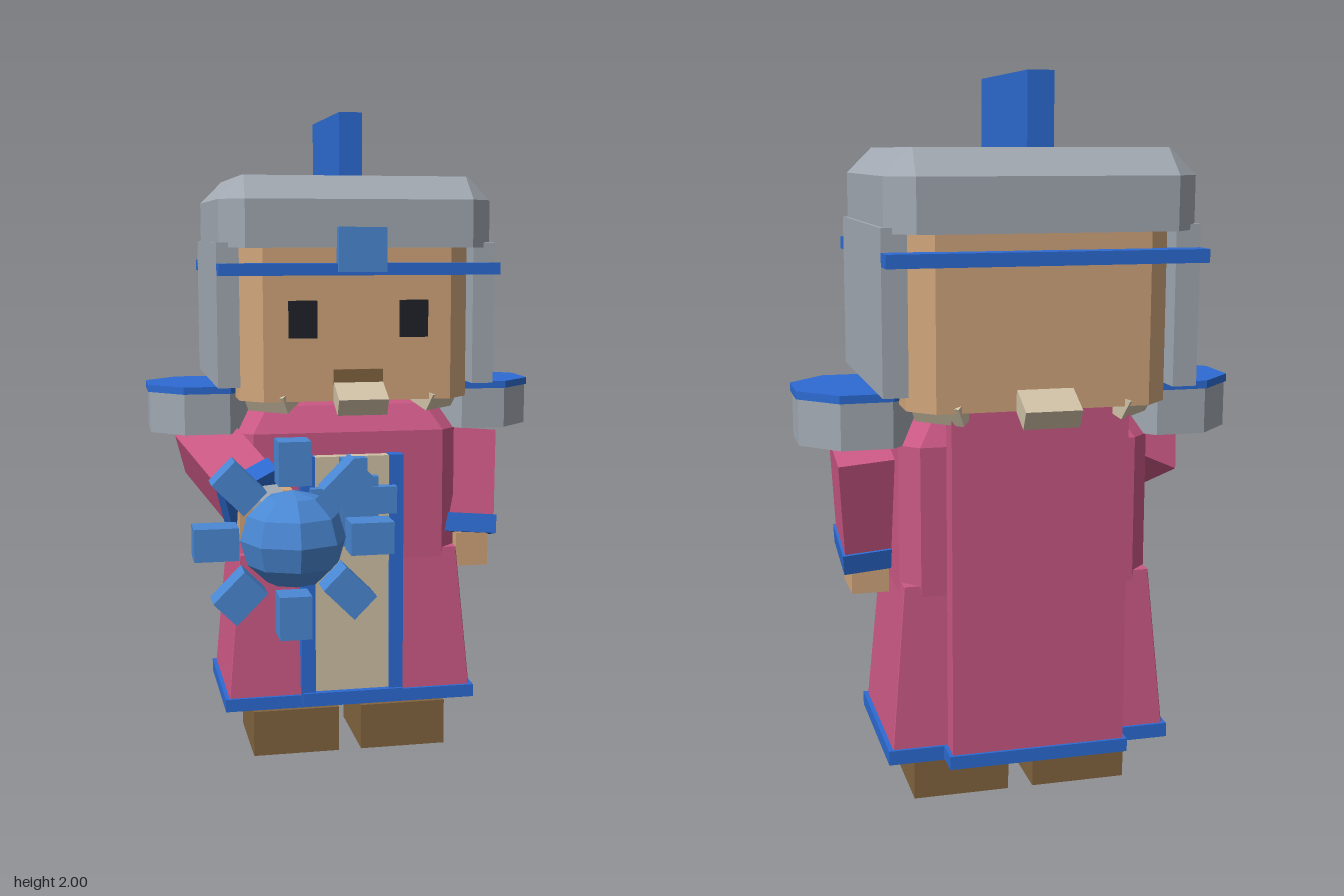
import * as THREE from 'three';

const mat = (name, color) => new THREE.MeshStandardMaterial({ name, color, flatShading: true });

export function createModel() {
  const blue = mat('royal blue', 0x2d6bd2), paleBlue = mat('mace blue', 0x4a88d4);
  const pink = mat('robe pink', 0xca5884), steel = mat('steel grey', 0xa2a9b2);
  const skin = mat('skin', 0xd2a67c), cream = mat('cream', 0xcfc1a6);
  const brown = mat('boot brown', 0x82643f), dark = mat('eye black', 0x20222a);
  const model = new THREE.Group();
  model.name = 'armouredPriest';
  const ZC = -0.305; // body centre line

  const add = (name, geo, material, parent = model) => {
    const m = new THREE.Mesh(geo, material);
    m.name = name;
    parent.add(m);
    return m;
  };
  // Box from its minimum and maximum corners
  const box = (name, material, x0, x1, y0, y1, z0, z1, parent = model) => {
    const m = add(name, new THREE.BoxGeometry(x1 - x0, y1 - y0, z1 - z0), material, parent);
    m.position.set((x0 + x1) / 2, (y0 + y1) / 2, (z0 + z1) / 2);
    return m;
  };
  // Stack of chamfered rectangles: [y, halfX, halfZ, chamfer]
  const loft = (name, material, rings) => {
    const pts = rings.map(([y, a, b, c]) => [
      [a, c - b], [a, b - c], [a - c, b], [c - a, b],
      [-a, b - c], [-a, c - b], [c - a, -b], [a - c, -b],
    ].map(([x, z]) => [x, y, z]));
    const out = [];
    for (let r = 0; r < pts.length - 1; r++) {
      for (let i = 0; i < 8; i++) {
        const j = (i + 1) % 8, lo = pts[r], hi = pts[r + 1];
        out.push(...lo[i], ...hi[i], ...hi[j], ...lo[i], ...hi[j], ...lo[j]);
      }
    }
    const bottom = pts[0], top = pts[pts.length - 1];
    for (let i = 1; i < 7; i++) {
      out.push(...bottom[0], ...bottom[i], ...bottom[i + 1]);
      out.push(...top[0], ...top[i + 1], ...top[i]);
    }
    const g = new THREE.BufferGeometry();
    g.setAttribute('position', new THREE.Float32BufferAttribute(out, 3));
    g.computeVertexNormals();
    const m = add(name, g, material);
    m.position.z = ZC;
    return m;
  };

  // Head and face
  loft('head', skin, [[1.145, 0.35, 0.325, 0.065], [1.61, 0.35, 0.325, 0.065]]);
  for (const s of [-1, 1]) {
    box('eye', dark, s * 0.168 - 0.042, s * 0.168 + 0.042, 1.335, 1.445, 0.01, 0.04);
  }
  box('mouth', brown, -0.075, 0.075, 1.17, 1.24, 0, 0.028);

  // Helmet
  loft('helmetCap', steel, [
    [1.6, 0.41, 0.368, 0.07], [1.74, 0.41, 0.368, 0.07], [1.81, 0.34, 0.298, 0.005],
  ]);
  for (const s of [-1, 1]) {
    box('helmetCheek', steel, s * 0.387 - 0.033, s * 0.387 + 0.033, 1.19, 1.615, -0.622, 0.018);
  }
  box('helmetBandFront', blue, -0.42, 0.42, 1.52, 1.555, 0.015, 0.08);
  box('helmetBandBack', blue, -0.42, 0.42, 1.52, 1.555, -0.69, -0.62);
  box('helmetBadge', paleBlue, -0.072, 0.072, 1.53, 1.66, 0.055, 0.095);
  box('helmetCrest', blue, -0.035, 0.035, 1.8, 2, -0.575, -0.095);

  // Ring of tilted collar plates
  for (let i = 0; i < 8; i++) {
    const pivot = new THREE.Group();
    pivot.name = 'collarPlate';
    pivot.position.set(0, 1.155, ZC);
    pivot.rotation.y = i * Math.PI / 4;
    const plate = add('plate', new THREE.BoxGeometry(0.15, 0.055, 0.095), cream, pivot);
    plate.position.z = i % 2 ? 0.345 : 0.362;
    plate.rotation.x = 0.48;
    model.add(pivot);
  }

  // Robe, hem and cape
  loft('torso', pink, [[0.62, 0.35, 0.186, 0.05], [1.03, 0.35, 0.186, 0.05], [1.11, 0.3, 0.14, 0.05]]);
  loft('skirt', pink, [[0.195, 0.388, 0.212, 0.002], [0.65, 0.347, 0.184, 0.002]]);
  box('skirtHem', blue, -0.4, 0.4, 0.16, 0.2, -0.525, -0.083);
  box('cape', pink, -0.24, 0.24, 0.2, 1.14, -0.605, -0.54);
  box('capeHem', blue, -0.25, 0.25, 0.17, 0.207, -0.613, -0.533);

  // Tabard with cross
  box('tabard', cream, -0.12, 0.12, 0.2, 0.96, -0.13, -0.078);
  for (const s of [-1, 1]) {
    box('tabardTrim', blue, s * 0.14 - 0.022, s * 0.14 + 0.022, 0.18, 0.963, -0.12, -0.067);
  }
  box('tabardHem', blue, -0.158, 0.158, 0.175, 0.212, -0.1, -0.057);
  box('crossUpright', paleBlue, -0.04, 0.04, 0.685, 0.96, -0.08, -0.035);
  box('crossBar', paleBlue, -0.135, 0.135, 0.783, 0.868, -0.08, -0.037);
  box('crossCentre', paleBlue, -0.078, 0.078, 0.75, 0.9, -0.08, -0.045);

  // Feet and underrobe
  box('underrobe', cream, -0.29, 0.29, 0.145, 0.2, -0.45, -0.15);
  for (const s of [-1, 1]) {
    box('foot', brown, s * 0.173 - 0.137, s * 0.173 + 0.137, 0, 0.145, -0.415, -0.11);
  }

  // Open octagonal shoulder guards with flat caps
  const octagon = (r, h, open) => new THREE.CylinderGeometry(r, r, h, 8, 1, open).rotateY(Math.PI / 8);
  const steelOpen = steel.clone();
  steelOpen.name = 'steel grey open';
  steelOpen.side = THREE.DoubleSide;
  for (const s of [-1, 1]) {
    add('shoulderGuard', octagon(0.182, 0.13, true), steelOpen).position.set(s * 0.438, 1.095, -0.31);
    add('shoulderCap', octagon(0.188, 0.022, false), blue).position.set(s * 0.438, 1.167, -0.31);
  }

  // Sleeves hang from the shoulder towards a given point
  const sleeve = (name, from, to) => {
    const a = new THREE.Vector3(...from), d = new THREE.Vector3(...to).sub(a);
    const len = d.length();
    const arm = new THREE.Group();
    arm.name = name;
    arm.position.copy(a);
    arm.quaternion.setFromUnitVectors(new THREE.Vector3(0, -1, 0), d.normalize());
    box('sleeve', pink, -0.085, 0.085, -len, 0, -0.085, 0.085, arm);
    box('cuff', blue, -0.092, 0.092, -len - 0.02, -len + 0.04, -0.092, 0.092, arm);
    model.add(arm);
  };
  sleeve('leftArm', [0.42, 0.995, -0.305], [0.393, 0.69, -0.225]);
  box('leftHand', skin, 0.355, 0.46, 0.58, 0.69, -0.3, -0.145);
  sleeve('rightArm', [-0.44, 0.99, -0.27], [-0.315, 0.845, -0.03]);
  box('rightHand', skin, -0.365, -0.205, 0.735, 0.885, -0.045, 0.055);

  // Spiked mace
  box('maceHandle', steel, -0.327, -0.243, 0.812, 0.893, -0.04, 0.42);
  const mace = new THREE.Group();
  mace.name = 'maceHead';
  mace.position.set(-0.285, 0.855, 0.585);
  model.add(mace);
  add('maceBall', new THREE.SphereGeometry(0.139, 8, 6), paleBlue, mace).scale.y = 0.93;
  for (let i = 0; i < 8; i++) {
    const a = i * Math.PI / 4;
    const spike = add('maceSpike', new THREE.BoxGeometry(0.115, 0.085, 0.085), paleBlue, mace);
    spike.position.set(Math.cos(a) * 0.203, Math.sin(a) * 0.203, 0);
    spike.rotation.z = a;
  }
  return model;
}
